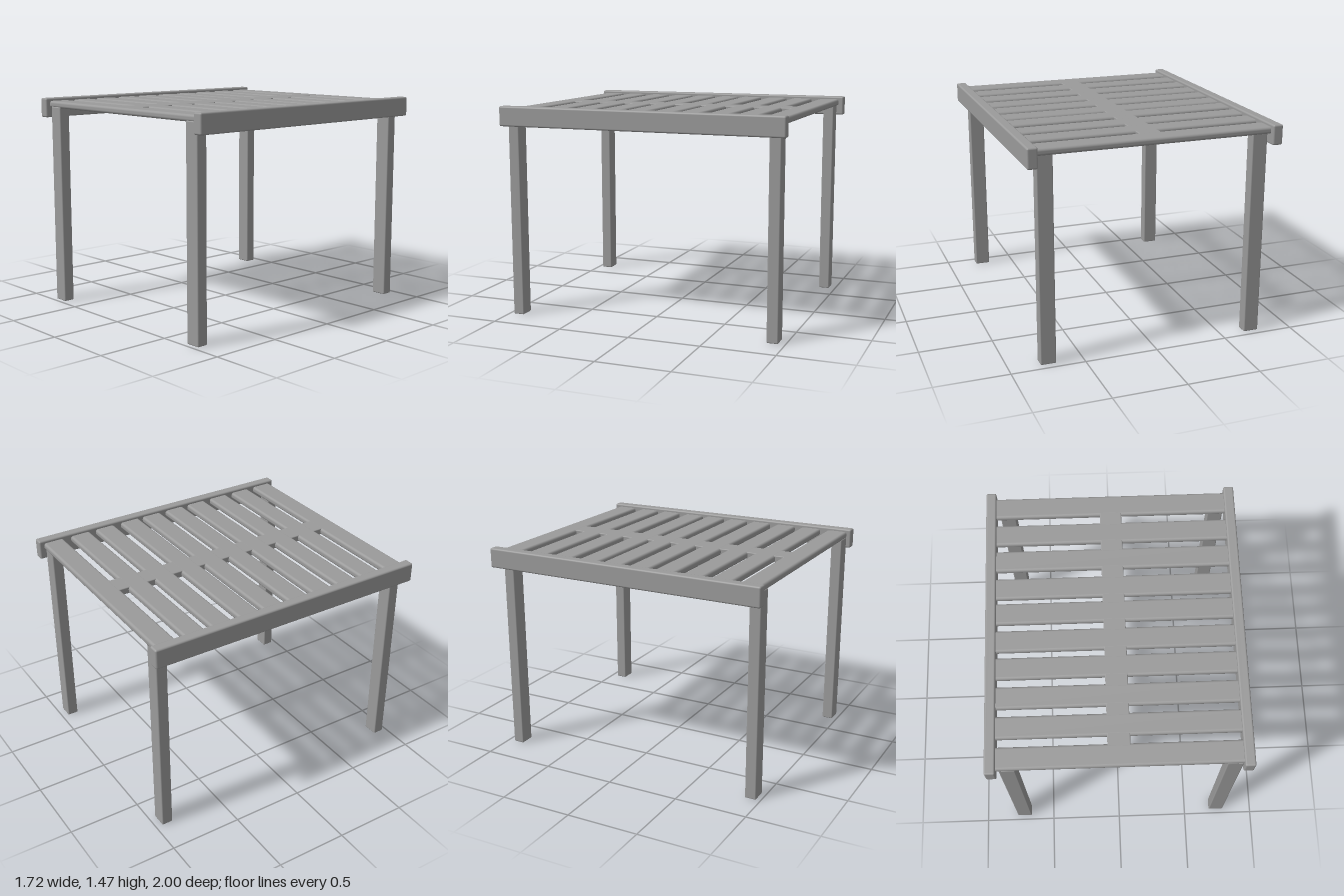
import * as THREE from 'three';
import { RoundedBoxGeometry } from 'three/addons/geometries/RoundedBoxGeometry.js';

export function createModel() {
  const group = new THREE.Group();
  group.name = 'slattedPergola';
  const material = new THREE.MeshStandardMaterial({ color: 0x9a9a9a });

  // Softly rounded timber, given by its centre and size
  function beam(name, [x, y, z], [w, h, d], radius) {
    const mesh = new THREE.Mesh(new RoundedBoxGeometry(w, h, d, 3, radius), material);
    mesh.name = name;
    mesh.position.set(x, y, z);
    group.add(mesh);
  }

  // Four posts standing under the roof
  for (const [side, x] of [['Left', 0.738], ['Right', -0.72]]) {
    for (const [end, z] of [['front', 0.93], ['back', -0.915]]) {
      beam(`${end}${side}Post`, [x, 0.704, z], [0.106, 1.408, 0.078], 0.008);
    }
  }

  // Side rails running front to back
  beam('leftRail', [0.825, 1.398, 0], [0.07, 0.136, 2], 0.012);
  beam('rightRail', [-0.825, 1.398, 0], [0.07, 0.136, 2], 0.012);

  // Roof slats with gaps between them, their ends let into the rails
  const slatZ = [-0.89, -0.682, -0.485, -0.28, -0.098, 0.098, 0.289, 0.49, 0.69, 0.893];
  slatZ.forEach((z, i) => beam(`slat${i + 1}`, [0, 1.423, z], [1.615, 0.047, 0.15], 0.018));

  // Central board tying the slats together
  beam('centreBoard', [-0.002, 1.423, 0], [0.148, 0.046, 1.88], 0.006);

  return group;
}
